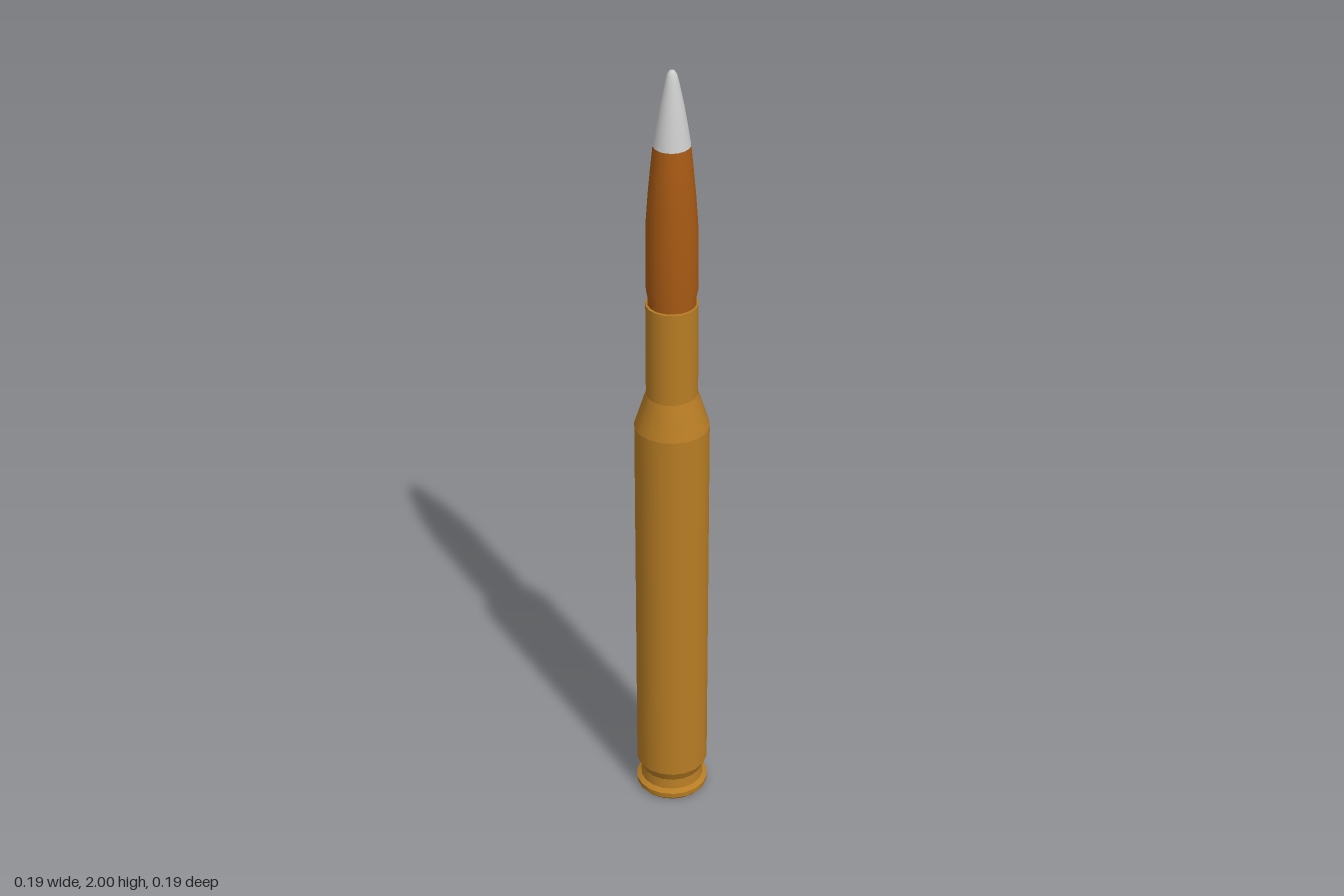
import * as THREE from 'three';

const SIDES = 18;
const brass = new THREE.MeshStandardMaterial({ color: 0xb87d25 });
const copper = new THREE.MeshStandardMaterial({ color: 0xa85a14 });
const grey = new THREE.MeshStandardMaterial({ color: 0xcccccc });

// One turned section, smooth inside; xScale(y) gives its slight ovality.
function turned(name, material, profile, xScale) {
  const points = profile.map(([r, y]) => new THREE.Vector2(r, y));
  const geometry = new THREE.LatheGeometry(points, SIDES, Math.PI / 2);
  const pos = geometry.attributes.position;
  for (let i = 0; i < pos.count; i++) pos.setX(i, pos.getX(i) * xScale(pos.getY(i)));
  const mesh = new THREE.Mesh(geometry, material);
  mesh.name = name;
  return mesh;
}

// Hard edges: every step of the profile becomes its own section.
function stepped(name, material, profile, xScale) {
  const group = new THREE.Group();
  group.name = name;
  for (let i = 0; i < profile.length - 1; i++) {
    group.add(turned(name + 'Band' + (i + 1), material, [profile[i], profile[i + 1]], xScale));
  }
  return group;
}

export function createModel() {
  const model = new THREE.Group();
  model.name = 'cartridge';
  const caseOval = (y) => 0.99 - 0.06 * THREE.MathUtils.smoothstep(y, 1.09, 1.18);
  const bulletOval = (y) => 0.97 - 0.09 * THREE.MathUtils.smoothstep(y, 1.6, 1.82);

  // Primer, set into the base
  model.add(stepped('primer', brass, [[0, 0.004], [0.033, 0.004], [0.036, 0.008]], caseOval));

  // Base and extractor rim
  model.add(stepped('rim', brass, [
    [0.036, 0.008], [0.039, 0], [0.086, 0], [0.093, 0.008], [0.094, 0.022], [0.082, 0.03],
  ], caseOval));

  // Extractor groove
  model.add(stepped('groove', brass, [[0.082, 0.03], [0.08, 0.058], [0.093, 0.085]], caseOval));

  // Case body, shoulder, neck and mouth lip
  model.add(stepped('case', brass, [
    [0.093, 0.085], [0.093, 1.09], [0.068, 1.18], [0.068, 1.42], [0.057, 1.42], [0.057, 1.38],
  ], caseOval));

  // Bullet jacket, with a crimped seat at the mouth
  model.add(turned('jacket', copper, [
    [0.06, 1.38], [0.06, 1.44], [0.064, 1.46], [0.064, 1.56], [0.063, 1.63],
    [0.06, 1.7], [0.056, 1.76], [0.05, 1.82],
  ], bulletOval));

  // Pointed tip
  model.add(turned('tip', grey, [
    [0.05, 1.82], [0.041, 1.87], [0.031, 1.92], [0.019, 1.97], [0.013, 1.99], [0.007, 1.998], [0, 2],
  ], bulletOval));

  return model;
}
